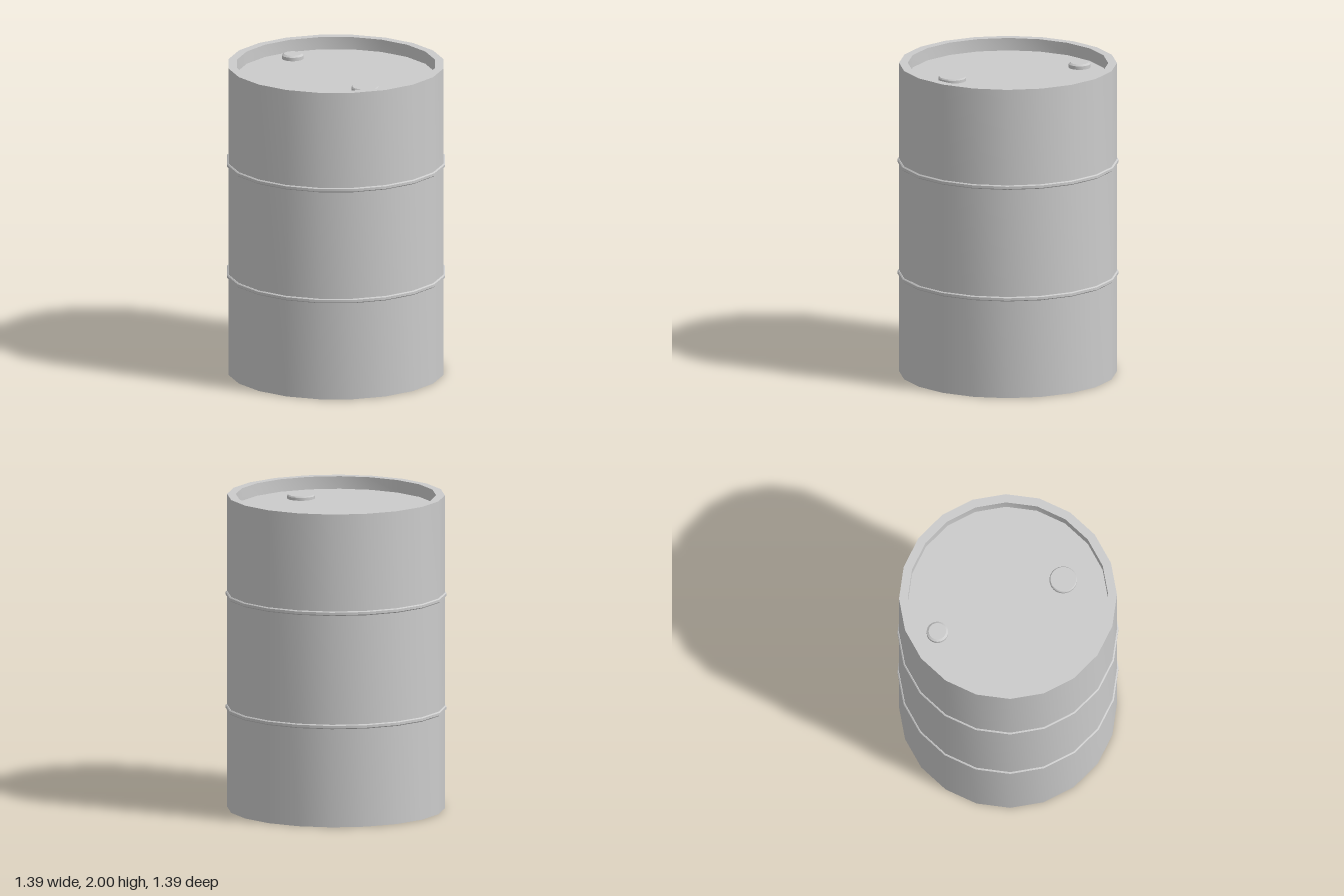
import * as THREE from 'three';
import { toCreasedNormals } from 'three/addons/utils/BufferGeometryUtils.js';

const SIDES = 20;
const material = new THREE.MeshStandardMaterial({ color: 0xcccccc });

// Revolves [radius, height] points, smooth around and sharp at the profile corners
function turned(name, profile, sides = SIDES) {
  const points = profile.map(([r, y]) => new THREE.Vector2(r, y));
  const geometry = toCreasedNormals(new THREE.LatheGeometry(points, sides), Math.PI / 7);
  const mesh = new THREE.Mesh(geometry, material);
  mesh.name = name;
  return mesh;
}

// Plug with a bevelled top edge, sitting on the lid
function plug(name, x, z, radius, topRadius, height) {
  const mesh = turned(name, [
    [radius, -0.01], [radius, height * 0.7], [topRadius, height], [0, height],
  ], 24);
  mesh.position.set(x, 1.92, z);
  return mesh;
}

export function createModel() {
  const drum = new THREE.Group();
  drum.name = 'drum';

  // Wall with rims around the recessed bottom and lid
  drum.add(turned('body', [
    [0, 0.08], [0.63, 0.08], [0.63, 0], [0.685, 0],
    [0.685, 2], [0.63, 2], [0.63, 1.92], [0, 1.92],
  ]));

  // Rolling hoops
  for (const [name, y] of [['lowerHoop', 0.642], ['upperHoop', 1.366]]) {
    const hoop = turned(name, [
      [0.68, -0.014], [0.688, -0.014], [0.695, -0.008],
      [0.695, 0.008], [0.688, 0.014], [0.68, 0.014],
    ]);
    hoop.position.y = y;
    drum.add(hoop);
  }

  // Filler plugs
  drum.add(plug('largePlug', 0.13, 0.35, 0.087, 0.081, 0.026));
  drum.add(plug('smallPlug', -0.205, -0.448, 0.068, 0.055, 0.032));

  return drum;
}
